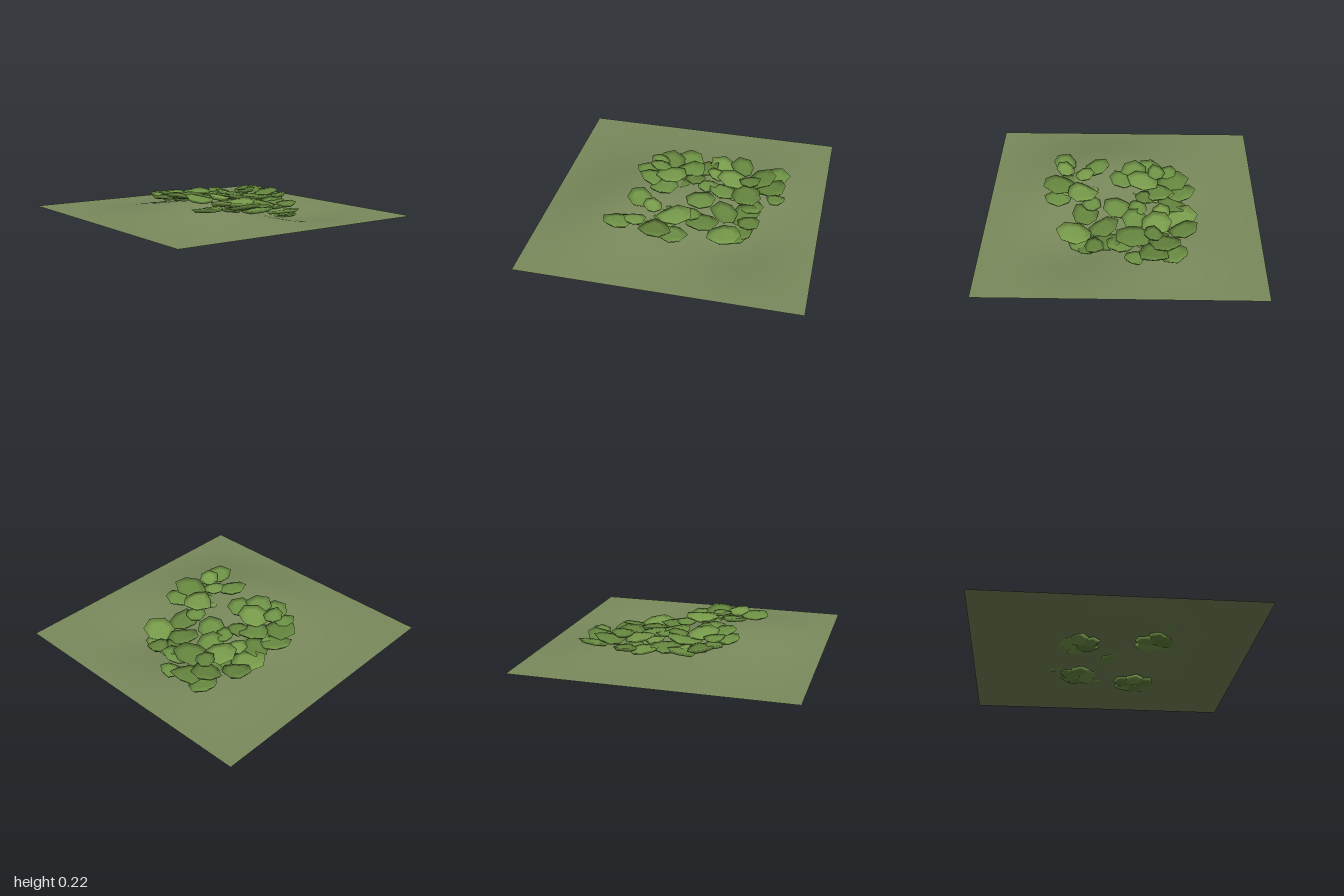
import * as THREE from 'three';
import { mergeVertices } from 'three/addons/utils/BufferGeometryUtils.js';

// small seeded generator
let seed = 11;
const rand = () => (seed = (seed * 16807) % 2147483647) / 2147483647;
const vary = (a) => (rand() * 2 - 1) * a;

// gently rolling ground: a hill, a hollow and a low rise, level along the border
const bump = (x, z, cx, cz, spread) => Math.exp(-((x - cx) ** 2 + (z - cz) ** 2) / spread);
function groundHeight(x, z) {
  const fade = (1 - x ** 4) * (1 - z ** 4);
  return 0.055 + fade * (0.11 * bump(x, z, -0.35, 0.15, 0.35)
    - 0.06 * bump(x, z, 0.4, 0.38, 0.15) + 0.035 * bump(x, z, 0.6, -0.35, 0.15));
}

function makeGround() {
  const geo = new THREE.PlaneGeometry(2, 2, 40, 40).rotateX(-Math.PI / 2);
  const p = geo.attributes.position;
  for (let i = 0; i < p.count; i++) p.setY(i, groundHeight(p.getX(i), p.getZ(i)));
  geo.computeVertexNormals();
  const mesh = new THREE.Mesh(geo, new THREE.MeshStandardMaterial({ color: 0x7a8a5c, side: THREE.DoubleSide }));
  mesh.name = 'ground';
  return mesh;
}

// fleshy leaf: thick seven-sided pad, narrower at the base, tip along +x
const leafProfile = [[0, -0.5], [0.78, -0.4], [1, 0.3], [0.55, 0.46], [0, 0.5]]
  .map(([x, y]) => new THREE.Vector2(x, y));

function leafGeometry(radius, thickness) {
  let geo = new THREE.LatheGeometry(leafProfile, 7);
  geo.deleteAttribute('uv');
  geo.deleteAttribute('normal');
  geo = mergeVertices(geo, 1e-4);
  const reach = Array.from({ length: 7 }, () => 1 + vary(0.13));
  const p = geo.attributes.position;
  for (let i = 0; i < p.count; i++) {
    const x = p.getX(i), z = p.getZ(i);
    const side = Math.round(Math.atan2(z, x) / (Math.PI * 2 / 7) + 7.25) % 7;
    const k = reach[side] * radius;
    p.setXYZ(i, x * k * 1.08, p.getY(i) * thickness + 0.012 * x * x, z * k * (0.93 + 0.12 * x));
  }
  geo.computeVertexNormals();
  return geo;
}

const greens = [0x66873f, 0x6f9446, 0x7a9e4c].map((color) => new THREE.MeshStandardMaterial({ color }));

// a clump has a centre and the spots of its leaves; every fourth leaf is a small one on top
function makeClump(name, [cx, cz], spots) {
  const group = new THREE.Group();
  group.name = name;
  const add = (part, x, y, z, radius, thickness, tilt) => {
    const leaf = new THREE.Mesh(leafGeometry(radius, thickness), greens[Math.floor(rand() * 3)]);
    leaf.name = part;
    leaf.position.set(x, y, z);
    // tip points away from the clump centre and lifts a little
    leaf.rotation.set(vary(0.12), -Math.atan2(z - cz, x - cx) + vary(0.3), tilt + vary(0.08), 'YXZ');
    group.add(leaf);
  };
  spots.forEach(([x, z], i) => {
    const small = i % 4 === 1;
    const lift = 0.052 - 0.11 * Math.hypot(x - cx, z - cz) + (small ? 0.014 : 0);
    add('leaf', x, groundHeight(x, z) + lift, z, small ? 0.075 : 0.112 + vary(0.012), 0.032, 0.12);
  });
  // flat rosette at the foot, sunk just through the ground
  const foot = groundHeight(cx, cz) - 0.008;
  for (let i = 0; i < 6; i++) {
    const a = i * Math.PI / 3;
    add('footLeaf', cx + 0.08 * Math.cos(a), foot, cz + 0.08 * Math.sin(a), 0.085, 0.022, 0.03);
  }
  return group;
}

export function createModel() {
  seed = 11;
  const model = new THREE.Group();
  model.name = 'leafyGroundPatch';
  model.add(
    makeGround(),
    makeClump('frontLeftClump', [-0.15, 0.34], [
      [-0.3, 0.2], [-0.19, 0.29], [-0.4, 0.45], [-0.13, 0.48], [-0.03, 0.31], [-0.28, 0.44], [0, 0.48]]),
    makeClump('backLeftClump', [-0.13, -0.24], [
      [-0.07, -0.43], [-0.28, -0.34], [-0.2, -0.37], [-0.33, -0.2], [-0.27, -0.09], [-0.26, -0.25],
      [-0.17, 0], [-0.04, -0.26], [0.07, -0.36], [0.03, -0.16], [-0.15, -0.15]]),
    makeClump('backRightClump', [0.38, -0.2], [
      [0.35, -0.44], [0.44, -0.23], [0.21, -0.42], [0.6, -0.37], [0.6, -0.22], [0.65, -0.1], [0.51, -0.31],
      [0.3, -0.25], [0.25, -0.1], [0.18, -0.28], [0.43, -0.09], [0.49, 0], [0.11, 0.04], [0.13, -0.12]]),
    makeClump('frontRightClump', [0.37, 0.23], [
      [0.31, 0.13], [0.5, 0.19], [0.35, 0.34], [0.17, 0.27], [0.45, 0.11], [0.08, 0.23]]),
  );
  return model;
}
